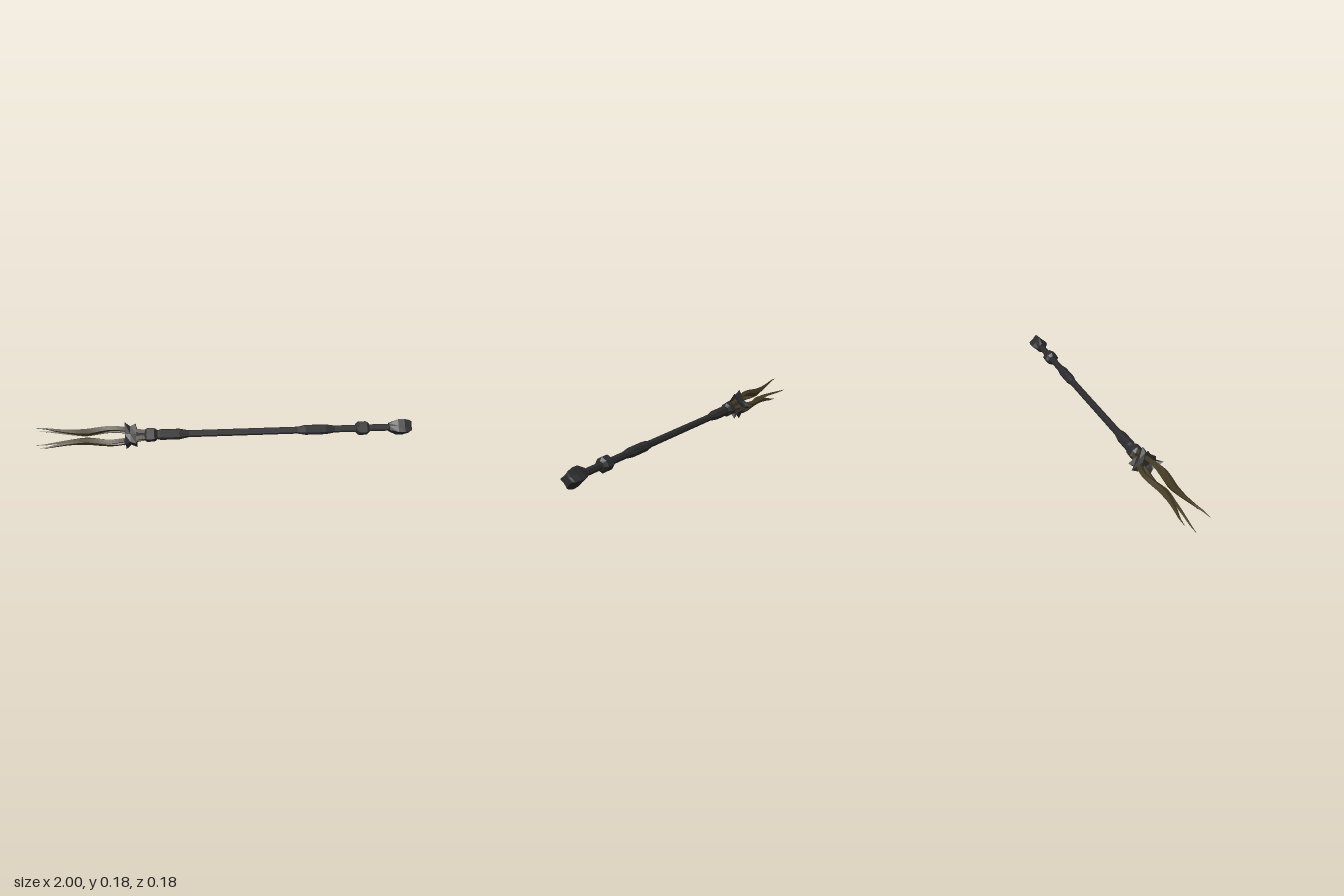
import * as THREE from 'three';

const AXIS_Y = 0.088;

// Skin a list of rings (arrays of [x, y, z]) into a closed flat-shaded surface
function loft(rings) {
  const pos = [];
  const n = rings[0].length;
  const centre = (ring) => [0, 1, 2].map((k) => ring.reduce((s, p) => s + p[k], 0) / n);
  const first = centre(rings[0]);
  const last = centre(rings[rings.length - 1]);
  for (let j = 0; j < n; j++) {
    const k = (j + 1) % n;
    for (let i = 0; i < rings.length - 1; i++) {
      const a = rings[i][j], b = rings[i][k], c = rings[i + 1][k], d = rings[i + 1][j];
      pos.push(...a, ...b, ...c, ...a, ...c, ...d);
    }
    const end = rings[rings.length - 1];
    pos.push(...first, ...rings[0][k], ...rings[0][j]);
    pos.push(...last, ...end[j], ...end[k]);
  }
  const geo = new THREE.BufferGeometry();
  geo.setAttribute('position', new THREE.Float32BufferAttribute(pos, 3));
  geo.computeVertexNormals();
  return geo;
}

// Eight-sided section; point = radius toward y and z, valley = radius on the diagonals
function ring8([x, point, valley = point]) {
  return Array.from({ length: 8 }, (_, i) => {
    const a = (i * Math.PI) / 4;
    const r = i % 2 ? valley : point;
    return [x, r * Math.cos(a), r * Math.sin(a)];
  });
}

export function createModel() {
  const group = new THREE.Group();
  const metal = new THREE.MeshStandardMaterial({ color: 0x2b2b2d });
  metal.name = 'dark metal';
  const bronze = new THREE.MeshStandardMaterial({ color: 0x433a22 });
  bronze.name = 'aged bronze';

  function add(name, geo, mat) {
    const mesh = new THREE.Mesh(geo, mat);
    mesh.name = name;
    mesh.position.y = AXIS_Y;
    group.add(mesh);
    return mesh;
  }
  const turned = (name, sections) => add(name, loft(sections.map(ring8)), metal);

  // Shaft and its swollen grips
  turned('shaft', [[-0.5, 0.019], [0.92, 0.019]]);
  turned('upperGrip', [[-0.375, 0.022], [-0.35, 0.029], [-0.25, 0.029], [-0.2, 0.019]]);
  turned('lowerGrip', [[0.385, 0.019], [0.425, 0.027], [0.535, 0.027], [0.585, 0.019]]);

  // Chamfered rings
  for (const [name, x] of [['upperRing', -0.403], ['lowerRing', 0.735]]) {
    turned(name, [
      [x - 0.036, 0.025], [x - 0.02, 0.041, 0.037],
      [x + 0.02, 0.041, 0.037], [x + 0.036, 0.025],
    ]);
  }

  // Four-lobed pommel
  turned('pommel', [
    [0.88, 0.026, 0.024], [0.925, 0.05, 0.034], [0.96, 0.051, 0.034],
    [0.99, 0.042, 0.026], [1, 0.034, 0.02],
  ]);

  // Spiked collar with two flared star edges
  turned('spikedCollar', [
    [-0.505, 0.035, 0.03], [-0.537, 0.088, 0.04], [-0.508, 0.06, 0.046],
    [-0.478, 0.076, 0.042], [-0.49, 0.04, 0.03],
  ]);

  // Four wavy prongs: x, distance from axis, radial half width, half thickness
  const profile = [
    [-1, 0.065, 0.001, 0.001], [-0.95, 0.06, 0.005, 0.004], [-0.9, 0.049, 0.009, 0.006],
    [-0.82, 0.035, 0.015, 0.009], [-0.74, 0.029, 0.023, 0.011], [-0.68, 0.039, 0.021, 0.012],
    [-0.62, 0.049, 0.017, 0.013], [-0.57, 0.047, 0.016, 0.014], [-0.5, 0.032, 0.016, 0.015],
    [-0.42, 0.019, 0.013, 0.014],
  ];
  // Smooth the path between the profile points
  const path = new THREE.CatmullRomCurve3(profile.map(([x, c]) => new THREE.Vector3(x, c, 0)));
  const size = new THREE.CatmullRomCurve3(profile.map(([, , h, t]) => new THREE.Vector3(h, t, 0)));
  const steps = 27;
  const rings = Array.from({ length: steps + 1 }, (_, i) => {
    const p = path.getPoint(i / steps);
    const s = size.getPoint(i / steps);
    return [
      [p.x, p.y + s.x, 0], [p.x, p.y, s.y], [p.x, p.y - s.x, 0], [p.x, p.y, -s.y],
    ];
  });
  const prongGeo = loft(rings);
  for (let i = 0; i < 4; i++) {
    add('prong' + (i + 1), prongGeo, bronze).rotation.x = (i * Math.PI) / 2;
  }
  return group;
}
